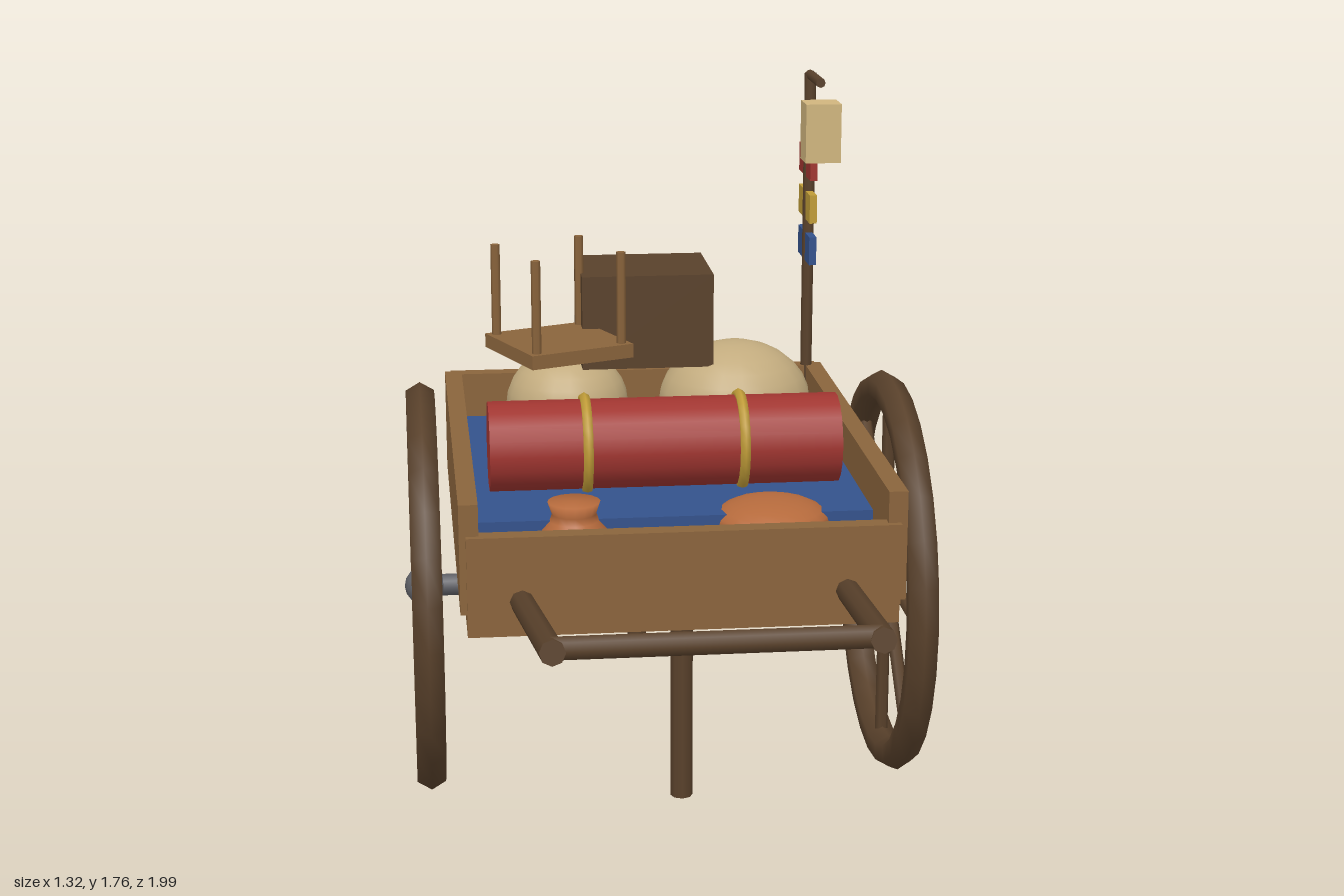
import * as THREE from 'three';

const mat = (name, color) => {
  const m = new THREE.MeshStandardMaterial({ color });
  m.name = name;
  return m;
};

export function createModel() {
  const wood = mat('plank wood', 0x8a643c);
  const dark = mat('dark wood', 0x59412b);
  const red = mat('red cloth', 0xa03530);
  const blue = mat('blue cloth', 0x34528c);
  const gold = mat('gold cloth', 0xc09c38);
  const sackCloth = mat('sack cloth', 0xc2ab7e);
  const clay = mat('clay', 0xb56a3c);
  const iron = mat('iron', 0x606167);
  const paper = mat('lantern paper', 0xd0b57e);

  const cart = new THREE.Group();
  cart.name = 'handCart';

  const add = (parent, name, geometry, material, x = 0, y = 0, z = 0) => {
    const mesh = new THREE.Mesh(geometry, material);
    mesh.name = name;
    mesh.position.set(x, y, z);
    parent.add(mesh);
    return mesh;
  };
  // Box given by its min and max on each axis
  const box = (name, material, x0, x1, y0, y1, z0, z1) =>
    add(cart, name, new THREE.BoxGeometry(x1 - x0, y1 - y0, z1 - z0), material,
      (x0 + x1) / 2, (y0 + y1) / 2, (z0 + z1) / 2);
  // Round bar between two points
  const bar = (parent, name, material, a, b, r, sides = 8) => {
    const from = new THREE.Vector3(...a), to = new THREE.Vector3(...b);
    const dir = to.clone().sub(from);
    const mesh = add(parent, name, new THREE.CylinderGeometry(r, r, dir.length(), sides), material);
    mesh.position.copy(from).add(to).multiplyScalar(0.5);
    mesh.quaternion.setFromUnitVectors(new THREE.Vector3(0, 1, 0), dir.normalize());
    return mesh;
  };

  // Bed and boards
  box('floor', wood, -0.514, 0.514, 0.62, 0.677, -0.91, 0.36);
  for (const s of [-1, 1]) {
    const side = box('sideBoard', wood, 0.484, 0.53, 0.675, 0.945, -0.915, 0.355);
    side.position.x *= s;
  }
  box('backBoard', wood, -0.514, 0.514, 0.675, 0.945, -0.925, -0.88);
  box('frontBoard', wood, -0.514, 0.514, 0.67, 0.868, 0.325, 0.372);

  // Prop legs
  for (const z of [0.283, -0.863]) bar(cart, 'propLeg', dark, [0, 0.165, z], [0, 0.63, z], 0.027);

  // Axle and wheels
  const axleY = 0.537, axleZ = -0.275;
  bar(cart, 'axle', iron, [-0.605, axleY, axleZ], [0.605, axleY, axleZ], 0.028, 10);
  for (const s of [-1, 1]) {
    const wheel = new THREE.Group();
    wheel.name = s > 0 ? 'leftWheel' : 'rightWheel';
    wheel.position.set(s * 0.605, axleY, axleZ);
    wheel.rotation.y = Math.PI / 2;
    add(wheel, 'rim', new THREE.TorusGeometry(0.485, 0.042, 6, 28), dark);
    add(wheel, 'hub', new THREE.SphereGeometry(0.054, 12, 8), iron);
    for (let i = 0; i < 8; i++) {
      const a = i * Math.PI / 4;
      bar(wheel, 'spoke', dark, [0, 0, 0], [Math.cos(a) * 0.47, Math.sin(a) * 0.47, 0], 0.017, 6);
    }
    cart.add(wheel);
  }

  // Pull handle
  for (const s of [-1, 1])
    bar(cart, 'handleShaft', dark, [s * 0.39, 0.697, 0.3], [s * 0.353, 0.811, 0.99], 0.029);
  bar(cart, 'handleBar', dark, [-0.355, 0.81, 0.96], [0.355, 0.81, 0.96], 0.027);

  // Cloth under the load
  box('groundCloth', blue, -0.485, 0.485, 0.795, 0.84, -0.82, 0.16);

  // Bedroll with straps
  bar(cart, 'bedroll', red, [-0.44, 0.945, -0.135], [0.44, 0.945, -0.135], 0.114, 18);
  for (const x of [-0.197, 0.194]) {
    const strap = add(cart, 'strap', new THREE.TorusGeometry(0.116, 0.014, 6, 24), gold, x, 0.945, -0.135);
    strap.rotation.y = Math.PI / 2;
  }

  // Sacks
  const sack = (x, y, z, rx, ry, rz) =>
    add(cart, 'sack', new THREE.SphereGeometry(1, 20, 14), sackCloth, x, y, z).scale.set(rx, ry, rz);
  sack(-0.205, 0.915, -0.675, 0.165, 0.145, 0.165);
  sack(0.24, 0.93, -0.58, 0.205, 0.165, 0.19);

  // Crate
  box('crate', dark, -0.176, 0.17, 1.05, 1.298, -0.765, -0.478);

  // Upturned stool
  const stool = new THREE.Group();
  stool.name = 'upturnedStool';
  stool.position.set(-0.245, 1.142, -0.38);
  stool.rotation.y = 0.39;
  add(stool, 'stoolSeat', new THREE.BoxGeometry(0.285, 0.036, 0.285), wood);
  for (const x of [-0.12, 0.12])
    for (const z of [-0.12, 0.12])
      bar(stool, 'stoolLeg', wood, [x, 0, z], [x, 0.255, z], 0.012, 6);
  cart.add(stool);

  // Clay jar and squat pot
  const jar = [[0, 0.677], [0.05, 0.68], [0.085, 0.72], [0.096, 0.765], [0.085, 0.81],
    [0.06, 0.838], [0.054, 0.855], [0.064, 0.885], [0, 0.885]];
  add(cart, 'jar', new THREE.LatheGeometry(jar.map(p => new THREE.Vector2(...p)), 16), clay, -0.247, 0, 0.155);
  add(cart, 'squatPot', new THREE.SphereGeometry(0.143, 18, 12), clay, 0.24, 0.812, 0.117).scale.y = 0.39;

  // Lantern pole with pennants
  bar(cart, 'pole', dark, [0.486, 0.68, -0.893], [0.486, 1.765, -0.893], 0.016);
  bar(cart, 'poleArm', dark, [0.486, 1.76, -0.9], [0.486, 1.76, -0.72], 0.013);
  box('lantern', paper, 0.44, 0.535, 1.553, 1.71, -0.762, -0.67);
  [[red, 1.52], [gold, 1.402], [blue, 1.286]].forEach(([m, y]) =>
    box('pennant', m, 0.476, 0.496, y - 0.039, y + 0.039, -1, -0.808));

  return cart;
}
